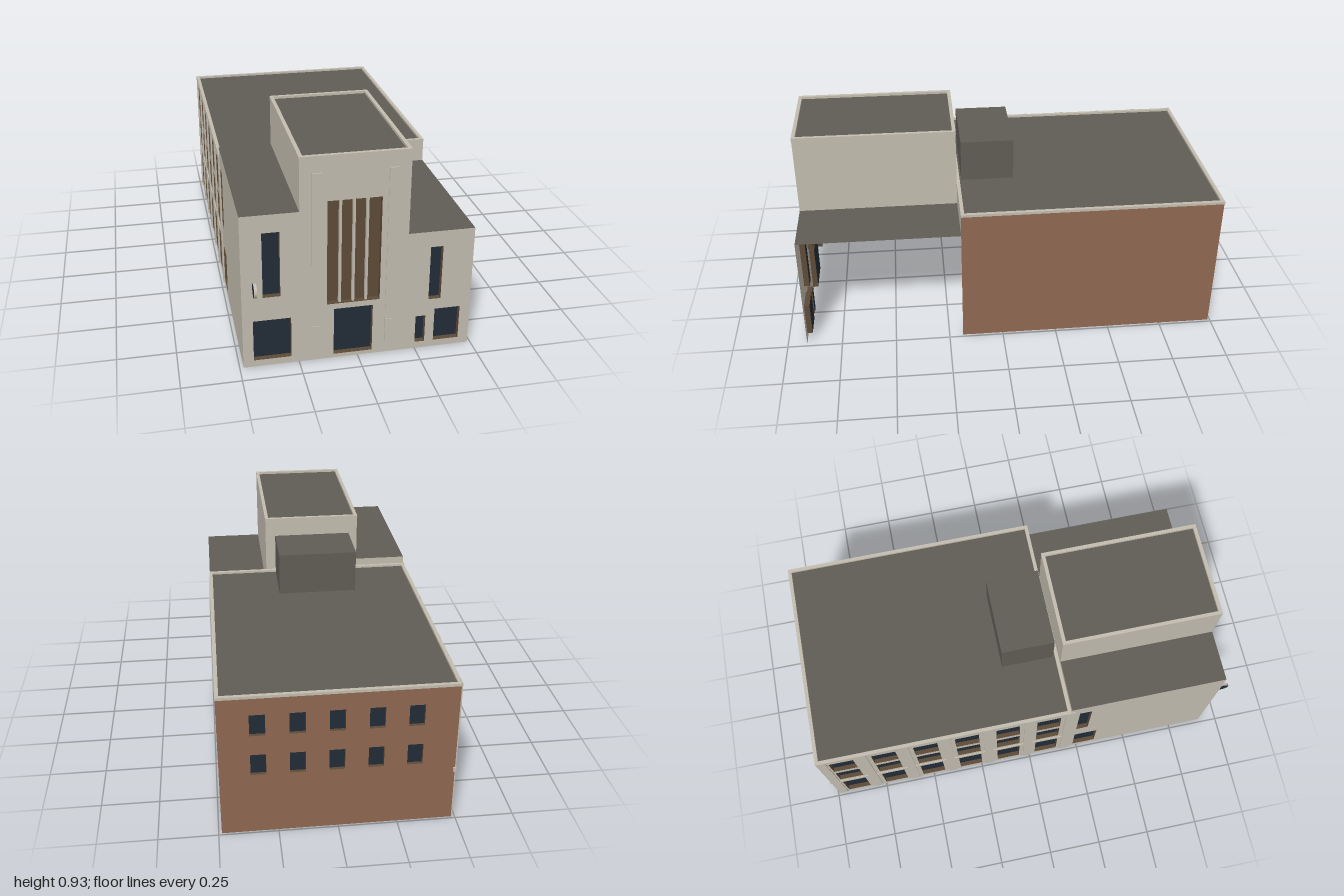
import * as THREE from 'three';

const flat = (name, color) => {
  const m = new THREE.MeshStandardMaterial({ color, side: THREE.DoubleSide });
  m.name = name;
  return m;
};

export function createModel() {
  const stone = flat('stone', 0xc3bdaf);
  const brick = flat('brick', 0x8f6851);
  const roofing = flat('roofing', 0x605d55);
  const glass = flat('glass', 0x222d37);
  const bronze = flat('bronze', 0x5e4b38);

  const model = new THREE.Group();
  model.name = 'building';

  const mesh = (parent, name, geometry, material, x = 0, y = 0, z = 0) => {
    const m = new THREE.Mesh(geometry, material);
    m.name = name;
    m.position.set(x, y, z);
    parent.add(m);
    return m;
  };
  // Box given by its lower and upper corners
  const box = (parent, name, material, x0, x1, y0, y1, z0, z1) =>
    mesh(parent, name, new THREE.BoxGeometry(x1 - x0, y1 - y0, z1 - z0), material,
      (x0 + x1) / 2, (y0 + y1) / 2, (z0 + z1) / 2);

  // Thin wall in its own xy plane, with recessed openings [x0, x1, y0, y1, paneMaterial]
  const wall = (name, outline, openings, material, angle, x, z, depth) => {
    const g = new THREE.Group();
    g.name = name;
    g.position.set(x, 0, z);
    g.rotation.y = angle;
    model.add(g);
    const shape = new THREE.Shape(outline.map(p => new THREE.Vector2(...p)));
    for (const [x0, x1, y0, y1, pane = glass] of openings) {
      shape.holes.push(new THREE.Path([[x0, y0], [x0, y1], [x1, y1], [x1, y0]].map(p => new THREE.Vector2(...p))));
      const w = x1 - x0, h = y1 - y0, cx = (x0 + x1) / 2, cy = (y0 + y1) / 2;
      // four reveal sides only: the first 24 indices of a box
      const reveal = new THREE.BoxGeometry(w, h, depth);
      reveal.setIndex(Array.from(reveal.index.array.slice(0, 24)));
      reveal.clearGroups();
      mesh(g, 'windowReveal', reveal, bronze, cx, cy, -depth / 2);
      mesh(g, 'windowPane', new THREE.PlaneGeometry(w, h), pane, cx, cy, -depth);
    }
    mesh(g, name + 'Surface', new THREE.ShapeGeometry(shape), material);
    return g;
  };
  const rect = (x0, x1, y0, y1) => [[x0, y0], [x1, y0], [x1, y1], [x0, y1]];

  const L = -0.484, R = 0.487, TL = -0.245, TR = 0.205; // outer sides and tower sides
  const F = 0.912, M = 0.187, B = -0.99;                // front, middle and back planes

  // Front wall with stepped tower
  const front = wall('frontWall',
    [[L, 0], [R, 0], [R, 0.553], [TR, 0.553], [TR, 0.925], [TL, 0.925], [TL, 0.695], [L, 0.695]],
    [
      [-0.44, -0.282, 0.03, 0.218],
      [-0.397, -0.325, 0.325, 0.616],
      [-0.103, 0.062, 0.017, 0.237],
      [0.25, 0.293, 0.03, 0.157],
      [0.332, 0.443, 0.03, 0.185],
      [0.302, 0.355, 0.235, 0.482],
      [-0.133, 0.09, 0.262, 0.731, bronze],
    ], stone, 0, 0, F, 0.025);
  for (const x of [-0.077, -0.021, 0.034])
    box(front, 'mullion', stone, x - 0.005, x + 0.005, 0.262, 0.731, -0.025, -0.008);

  // Shallow pilasters beside the central panel
  for (const x of [-0.177, 0.134]) {
    box(front, 'pilasterShaft', stone, x - 0.019, x + 0.019, 0.165, 0.82, 0, 0.003);
    box(front, 'pilasterCap', stone, x - 0.019, x + 0.019, 0.82, 0.855, 0, 0.006);
    box(front, 'pilasterBase', stone, x - 0.019, x + 0.019, 0.06, 0.165, 0, 0.006);
  }

  // Left side: six window bays in three rows, and two windows on the front wing
  const sideOpenings = [[0.23, 0.287, 0.33, 0.612], [0.23, 0.342, 0.03, 0.218]];
  for (let i = 0; i < 6; i++) {
    const z = -0.885 + i * 0.194;
    for (const [y0, y1] of [[0.025, 0.215], [0.28, 0.42], [0.455, 0.605]])
      sideOpenings.push([z - 0.056, z + 0.056, y0, y1]);
  }
  wall('leftWall', [[B, 0], [F, 0], [F, 0.695], [M, 0.695], [M, 0.66], [B, 0.66]],
    sideOpenings, stone, -Math.PI / 2, L, 0, 0.02);
  for (let i = 0; i < 7; i++) {
    const z = Math.max(-0.97, -0.982 + i * 0.194);
    box(model, 'sidePilaster', stone, L - 0.005, L, 0, 0.662, z - 0.021, z + 0.021);
  }
  box(model, 'sideLedge', stone, L - 0.005, L + 0.008, 0.24, 0.258, -0.999, M);

  // Brick back wall with two rows of small windows
  const backOpenings = [];
  for (let i = 0; i < 5; i++)
    for (const y of [0.287, 0.475]) {
      const x = -0.327 + i * 0.16;
      backOpenings.push([x - 0.032, x + 0.032, y, y + 0.097]);
    }
  wall('backWall', rect(-R, -L, 0, 0.652), backOpenings, brick, Math.PI, 0, B, 0.015);

  // Blank brick right wall
  wall('rightWall', rect(-M, -B, 0, 0.652), [], brick, Math.PI / 2, R, 0, 0);

  // Upper walls above the wings and the rear block
  wall('rearBlockFrontWall', rect(TR, R, 0.553, 0.655), [], stone, 0, 0, M, 0);
  wall('leftWingBackWall', rect(-TL, -L, 0.65, 0.695), [], stone, Math.PI, 0, M, 0);
  wall('towerRightWall', rect(-F, -M, 0.553, 0.925), [], stone, Math.PI / 2, TR, 0, 0);
  wall('towerLeftWall', rect(M, F, 0.695, 0.925), [], stone, -Math.PI / 2, TL, 0, 0);
  wall('towerBackWall', rect(-TR, -TL, 0.65, 0.925), [], stone, Math.PI, 0, M, 0);

  // Flat roofs
  const roof = (name, x0, x1, y, z0, z1) => {
    const g = new THREE.PlaneGeometry(x1 - x0, z1 - z0).rotateX(-Math.PI / 2);
    mesh(model, name, g, roofing, (x0 + x1) / 2, y, (z0 + z1) / 2);
  };
  roof('rearRoof', L, R, 0.651, B, M);
  roof('towerRoof', TL, TR, 0.915, M, F);
  roof('leftWingRoof', L, TL, 0.695, M, F);
  roof('rightWingRoof', TR, R, 0.553, M, F);

  // Stone coping rings
  const coping = (name, x0, x1, y0, y1, z0, z1) => {
    const t = 0.016;
    box(model, name, stone, x0, x1, y0, y1, z0, z0 + t);
    box(model, name, stone, x0, x1, y0, y1, z1 - t, z1);
    box(model, name, stone, x0, x0 + t, y0, y1, z0 + t, z1 - t);
    box(model, name, stone, x1 - t, x1, y0, y1, z0 + t, z1 - t);
  };
  coping('rearCoping', -0.488, 0.488, 0.649, 0.661, -0.993, M);
  coping('towerCoping', TL - 0.001, TR + 0.001, 0.912, 0.926, M - 0.001, F + 0.001);

  // Rooftop plant room
  box(model, 'plantRoom', roofing, -0.2, 0.16, 0.651, 0.846, -0.08, 0.163);

  // Round projecting sign with a pale rim
  const sign = new THREE.CylinderGeometry(0.03, 0.03, 0.012, 24).rotateZ(Math.PI / 2);
  mesh(model, 'roundSign', sign, [stone, glass, glass], -0.436, 0.397, 0.97);

  return model;
}
